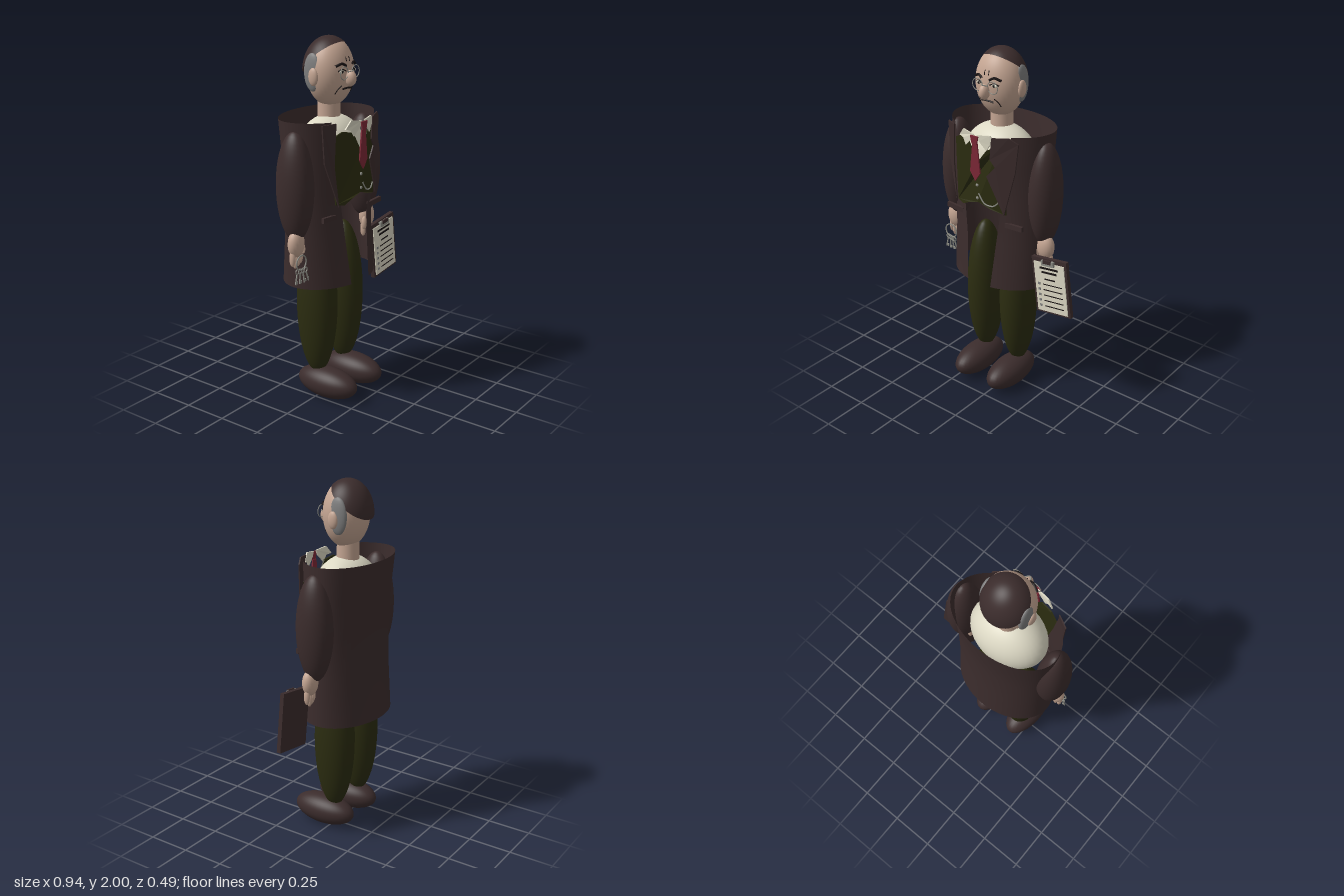
import * as THREE from 'three';

const mat = (name, color, side = THREE.FrontSide) => {
  const m = new THREE.MeshStandardMaterial({ color, side });
  m.name = name;
  return m;
};

export function createModel() {
  const coatBrown = mat('dark brown', 0x3b2c2c, THREE.DoubleSide);
  const green = mat('dark olive green', 0x2b2c10);
  const skin = mat('skin', 0xc4a592);
  const cream = mat('cream', 0xdcd8c4);
  const red = mat('tie red', 0x7c2836);
  const gray = mat('gray hair', 0x7d7d7d);
  const metal = mat('metal', 0x8c8c84);
  const black = mat('near black', 0x1a1414);

  const root = new THREE.Group();
  const body = new THREE.Group();
  body.name = 'figure';
  body.position.x = -0.08;
  root.add(body);

  const add = (name, geo, m, pos = [0, 0, 0], parent = body) => {
    const mesh = new THREE.Mesh(geo, m);
    mesh.name = name;
    mesh.position.set(...pos);
    parent.add(mesh);
    return mesh;
  };
  const ball = (name, m, pos, r, parent = body, seg = 32) =>
    add(name, new THREE.SphereGeometry(1, seg, seg * 0.75).scale(...r), m, pos, parent);
  const box = (name, m, pos, size, parent = body) => add(name, new THREE.BoxGeometry(...size), m, pos, parent);
  const tube = (name, m, pts, r, parent = body) =>
    add(name, new THREE.TubeGeometry(new THREE.CatmullRomCurve3(pts.map(p => new THREE.Vector3(...p))), 16, r, 6), m, [0, 0, 0], parent);
  // thin cut-out bent around the chest
  const plate = (name, m, pts, z, bend = 1.2, depth = 0.008) => {
    const shape = new THREE.Shape(pts.map(p => new THREE.Vector2(...p)));
    const geo = new THREE.ExtrudeGeometry(shape, { depth, bevelEnabled: false });
    const p = geo.attributes.position;
    for (let i = 0; i < p.count; i++) p.setZ(i, p.getZ(i) + z - bend * p.getX(i) ** 2);
    geo.computeVertexNormals();
    return add(name, geo, m);
  };
  const mirror = (pts, s) => pts.map(([x, y]) => [x * s, y]);

  // legs, shoes, sleeves and hands
  for (const s of [-1, 1]) {
    const side = s < 0 ? 'right' : 'left';
    ball(side + 'Leg', green, [0.12 * s, 0.55, -0.02], [0.099, 0.42, 0.12]);
    ball(side + 'Shoe', coatBrown, [0.12 * s, 0.087, 0.05], [0.093, 0.087, 0.193]);
    ball(side + 'Sleeve', coatBrown, [0.302 * s, 1.25, -0.018], [0.088, 0.295, 0.107]);
    const hand = new THREE.Group();
    hand.name = side + 'Hand';
    hand.position.set(0.322 * s, 0.94, 0);
    body.add(hand);
    ball('palm', skin, [0, 0.01, 0], [0.052, 0.075, 0.04], hand, 20);
    for (let i = 0; i < 4; i++)
      ball('finger', skin, [(-0.033 + 0.022 * i) * s, -0.065 - 0.008 * (i % 3), 0], [0.013, 0.045, 0.018], hand, 12);
    ball('thumb', skin, [-0.045 * s, -0.025, 0.015], [0.014, 0.04, 0.016], hand, 12);
  }

  // shirt and neck
  ball('shirt', cream, [0, 1.39, -0.015], [0.223, 0.2, 0.165]);
  add('neck', new THREE.CylinderGeometry(0.06, 0.062, 0.16, 28), skin, [0, 1.63, -0.025]);

  // open coat: y, half width, back depth, front depth, centre z, half opening
  const rows = [
    [1.59, 0.317, 0.192, 0.23, -0.05, 0.19],
    [1.4, 0.308, 0.18, 0.215, -0.042, 0.165],
    [1.2, 0.3, 0.175, 0.195, -0.036, 0.13],
    [0.95, 0.295, 0.192, 0.197, -0.03, 0.1],
    [0.69, 0.3, 0.213, 0.222, -0.03, 0.08],
  ];
  const N = 56;
  const coat = new THREE.PlaneGeometry(1, 1, N, rows.length - 1);
  rows.forEach(([y, rx, rb, rf, cz, w], j) => {
    const a0 = Math.asin(w / rx);
    for (let i = 0; i <= N; i++) {
      const a = a0 + (2 * Math.PI - 2 * a0) * i / N, c = Math.cos(a);
      coat.attributes.position.setXYZ(j * (N + 1) + i, rx * Math.sin(a), y, cz + c * (c > 0 ? rf : rb));
    }
  });
  coat.computeVertexNormals();
  add('coat', coat, coatBrown);

  // lapels and pocket flaps
  plate('leftLapel', coatBrown, [[0.1, 1.58], [0.19, 1.59], [0.235, 1.56], [0.22, 1.4], [0.165, 1.15], [0.07, 1.36], [0.12, 1.42], [0.09, 1.46]], 0.192);
  plate('rightLapel', coatBrown, [[-0.18, 1.585], [-0.25, 1.58], [-0.24, 1.38], [-0.165, 1.14], [-0.19, 1.36]], 0.19);
  for (const s of [-1, 1])
    box('pocketFlap', coatBrown, [0.205 * s, 1.08, 0.13], [0.115, 0.028, 0.016]).rotation.z = 0.06 * s;

  // waistcoat with buttons and watch chain
  plate('waistcoat', green, [[-0.17, 1.15], [-0.12, 1.14], [-0.06, 1.17], [0, 1.19], [0.08, 1.165], [0.165, 1.145],
    [0.17, 1.45], [0.13, 1.53], [0.06, 1.5], [0, 1.42], [-0.06, 1.52], [-0.13, 1.535], [-0.18, 1.51], [-0.175, 1.3]], 0.175);
  for (const y of [1.29, 1.215]) ball('button', metal, [0, y, 0.187], [0.009, 0.009, 0.006], body, 10);
  tube('watchChain', metal, [[0.01, 1.245, 0.188], [0.05, 1.195, 0.187], [0.1, 1.19, 0.178], [0.13, 1.215, 0.17]], 0.004);

  // collar and tie
  for (const s of [-1, 1])
    plate('collarWing', cream, mirror([[0.012, 1.58], [0.09, 1.59], [0.125, 1.545], [0.09, 1.54], [0.07, 1.505], [0.025, 1.55]], s), 0.192, 1.5);
  plate('tieKnot', red, [[-0.026, 1.575], [0.026, 1.575], [0.016, 1.53], [-0.016, 1.53]], 0.2, 0);
  plate('tieBlade', red, [[-0.016, 1.53], [0.016, 1.53], [0.034, 1.37], [0, 1.32], [-0.034, 1.37]], 0.195, 0);

  // head
  const head = new THREE.Group();
  head.name = 'head';
  head.position.set(0, 1.815, -0.015);
  body.add(head);
  const faceZ = (x, y) => 0.122 * Math.sqrt(Math.max(0, 1 - (x / 0.138) ** 2 - (y / 0.183) ** 2));
  ball('face', skin, [0, 0, 0], [0.138, 0.183, 0.122], head, 40);
  const cap = new THREE.SphereGeometry(1, 40, 20, 0, Math.PI * 2, 0, 1.12).rotateX(-0.55).scale(0.142, 0.186, 0.14);
  add('hair', cap, coatBrown, [0, 0, -0.008], head);
  ball('nose', skin, [0, -0.025, 0.131], [0.026, 0.042, 0.034], head, 20);
  for (const s of [-1, 1]) {
    const at = (x, y, lift = 0) => [x * s, y, faceZ(x, y) + lift];
    ball('sideHair', gray, [0.118 * s, 0.005, -0.025], [0.022, 0.1, 0.054], head, 20);
    ball('ear', skin, [0.138 * s, -0.015, -0.006], [0.016, 0.047, 0.03], head, 20);
    ball('eye', cream, at(0.05, 0.012), [0.02, 0.01, 0.006], head, 14);
    ball('pupil', black, at(0.05, 0.012, 0.004), [0.008, 0.008, 0.004], head, 10);
    tube('upperLid', black, [at(0.026, 0.014, 0.003), at(0.05, 0.024, 0.003), at(0.075, 0.014, 0.003)], 0.003, head);
    tube('eyebrow', black, [at(0.024, 0.04, 0.004), at(0.05, 0.053, 0.006), at(0.085, 0.04, 0.004)], 0.007, head);
    add('glassesRim', new THREE.TorusGeometry(0.033, 0.0025, 6, 28), metal, at(0.05, 0.005, 0.014), head);
    tube('cheekLine', black, [at(0.045, -0.06, 0.001), at(0.062, -0.08, 0.001), at(0.068, -0.105, 0.001)], 0.0025, head);
    tube('browLine', black, [at(0.012, 0.06, 0.001), at(0.014, 0.073, 0.001), at(0.012, 0.085, 0.001)], 0.002, head);
  }
  tube('glassesBridge', metal, [[-0.02, 0.01, 0.132], [0, 0.016, 0.15], [0.02, 0.01, 0.132]], 0.003, head);
  tube('mouth', black, [-0.04, -0.02, 0, 0.02, 0.04].map(x => [x, -0.077 - 3 * x * x, faceZ(x, -0.08) + 0.002]), 0.005, head);

  // clipboard
  const board = new THREE.Group();
  board.name = 'clipboard';
  board.position.set(0.41, 0.755, 0.052);
  board.rotation.z = 0.13;
  body.add(board);
  box('backing', coatBrown, [0, 0, 0], [0.23, 0.33, 0.024], board);
  box('paper', cream, [0, -0.006, 0.014], [0.2, 0.295, 0.006], board);
  box('clip', metal, [0, 0.145, 0.022], [0.08, 0.03, 0.016], board);
  box('clipLever', coatBrown, [0, 0.155, 0.028], [0.05, 0.02, 0.012], board);
  [[0.11, 0.12, 0.011], [0.085, 0.1, 0.011], [0.045, 0.07, 0.007]].forEach(([y, w, h]) =>
    box('headingBar', black, [0, y, 0.018], [w, h, 0.003], board));
  for (let i = 0; i < 5; i++) {
    const y = 0.012 - 0.033 * i;
    box('checkBox', gray, [-0.075, y, 0.018], [0.014, 0.014, 0.003], board);
    box('listBar', black, [0.015, y, 0.018], [0.125, 0.005, 0.003], board);
  }

  // ring of keys
  const keys = new THREE.Group();
  keys.name = 'keys';
  keys.position.set(-0.33, 0.855, 0.04);
  body.add(keys);
  add('ring', new THREE.TorusGeometry(0.04, 0.004, 6, 28), metal, [0, 0, 0], keys);
  for (let i = 0; i < 4; i++) {
    const key = new THREE.Group();
    key.name = 'key';
    key.position.set(-0.024 + 0.016 * i, -0.035, 0.004 * i - 0.006);
    key.rotation.z = -0.25 + 0.2 * i;
    keys.add(key);
    add('bow', new THREE.TorusGeometry(0.013, 0.0035, 6, 16), metal, [0, -0.01, 0], key);
    box('shank', metal, [0, -0.05, 0], [0.006, 0.06, 0.006], key);
    box('bit', metal, [0.008, -0.07, 0], [0.014, 0.015, 0.005], key);
  }
  return root;
}
